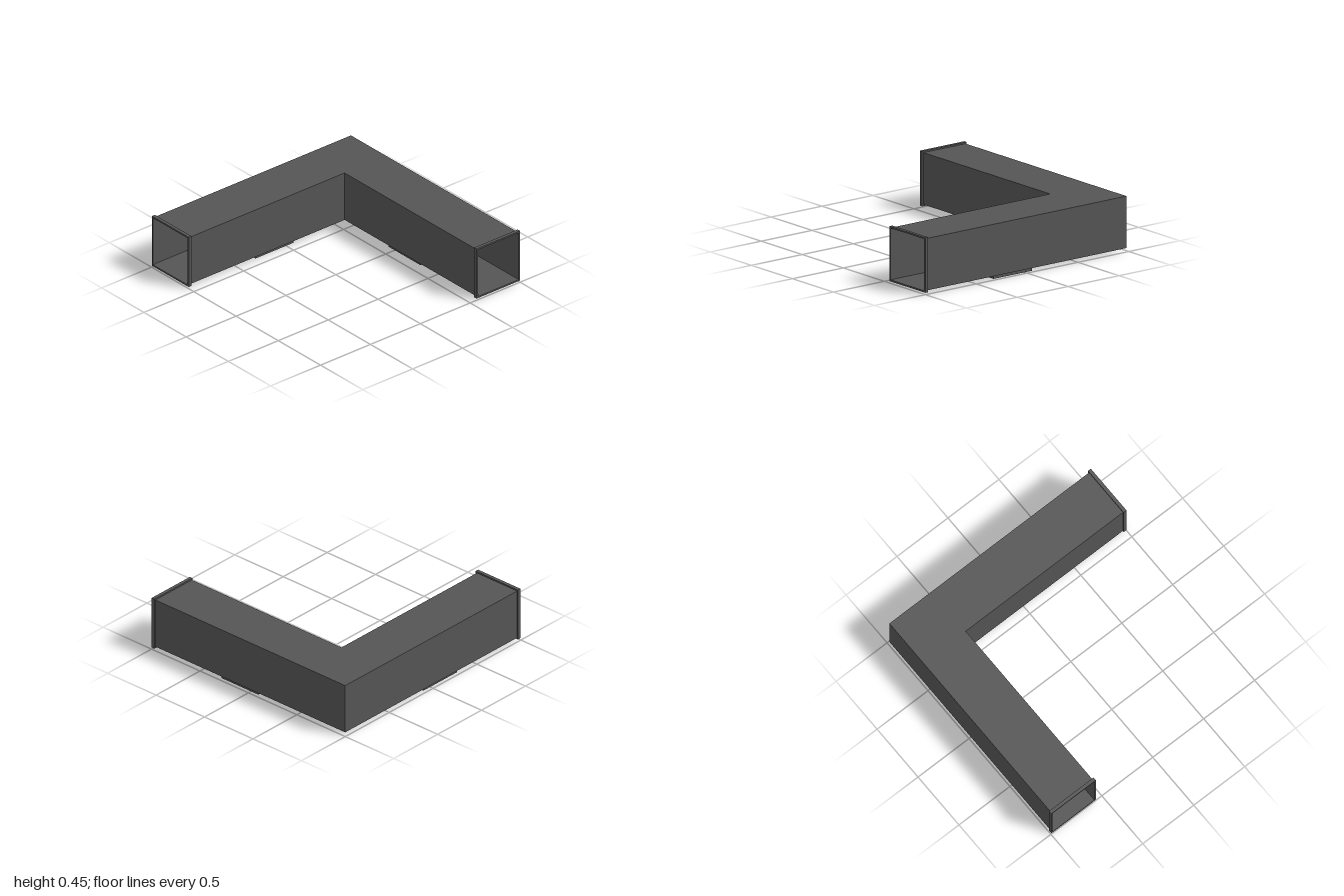
import * as THREE from 'three';

export function createModel() {
  const model = new THREE.Group();
  model.name = 'cornerDuct';
  const metal = new THREE.MeshStandardMaterial({ color: 0x555555, side: THREE.DoubleSide });
  metal.name = 'dark grey metal';

  const inner = 0.572, outer = 0.987, end = 0.99; // duct faces measured from the centre
  const bottom = 0.027, top = 0.439;
  const mid = (inner + outer) / 2;

  const add = (parent, geometry, name, x = 0, y = 0, z = 0) => {
    const mesh = new THREE.Mesh(geometry, metal);
    mesh.name = name;
    mesh.position.set(x, y, z);
    parent.add(mesh);
    return mesh;
  };

  // L-shaped floor and roof sheets (shape y becomes -z)
  const plan = [[-end, outer], [-end, inner], [inner, inner], [inner, -end], [outer, -end], [outer, outer]];
  const sheet = new THREE.Shape(plan.map(([x, y]) => new THREE.Vector2(x, y)));
  const roof = new THREE.ShapeGeometry(sheet).rotateX(-Math.PI / 2);
  const floor = new THREE.ShapeGeometry(sheet).rotateX(Math.PI / 2).scale(1, 1, -1);
  // Mirroring turns the floor over, so restore its winding
  floor.setIndex(Array.from(floor.index.array).reverse());
  floor.computeVertexNormals();
  add(model, roof, 'ductRoof', 0, top, 0);
  add(model, floor, 'ductFloor', 0, bottom, 0);

  // Side walls; the two ends of the duct stay open
  [[1, 2], [2, 3], [4, 5], [5, 0]].forEach(([a, b]) => {
    const [x0, y0] = plan[a], [x1, y1] = plan[b];
    const wall = new THREE.PlaneGeometry(Math.hypot(x1 - x0, y1 - y0), top - bottom);
    const mesh = add(model, wall, 'ductWall', (x0 + x1) / 2, (top + bottom) / 2, -(y0 + y1) / 2);
    mesh.rotation.y = Math.atan2(y1 - y0, x1 - x0);
  });

  // Square ring extruded along z, used for flanges and vent frames
  const ring = (size, hole, depth) => {
    const square = (s, Type) => new Type([[-s, -s], [s, -s], [s, s], [-s, s]].map(([x, y]) => new THREE.Vector2(x / 2, y / 2)));
    const shape = square(size, THREE.Shape);
    shape.holes.push(square(hole, THREE.Path));
    return new THREE.ExtrudeGeometry(shape, { depth, bevelEnabled: false }).translate(0, 0, -depth / 2);
  };

  // Arm fittings, drawn for the front arm
  const makeFittings = (name) => {
    const arm = new THREE.Group();
    arm.name = name;
    add(arm, ring(0.436, 0.41, 0.028), 'endFlange', mid + 0.002, (top + bottom) / 2, 0.986);

    // Vent under the floor with slats running across the duct
    const vent = new THREE.Group();
    vent.name = 'vent';
    vent.position.set(mid, 0.0135, 0.115);
    add(vent, ring(0.38, 0.32, 0.027), 'ventFrame').rotation.x = Math.PI / 2;
    for (let i = 0; i < 8; i++) {
      const slat = add(vent, new THREE.BoxGeometry(0.32, 0.005, 0.027), 'ventSlat', 0, 0, -0.14 + i * 0.04);
      slat.rotation.x = Math.PI / 5;
    }
    arm.add(vent);
    return arm;
  };
  model.add(makeFittings('frontArmFittings'));

  // Side arm: the same fittings turned a quarter and shifted to the back
  const side = makeFittings('sideArmFittings');
  side.rotation.y = -Math.PI / 2;
  side.position.z = -2 * mid;
  model.add(side);

  return model;
}
